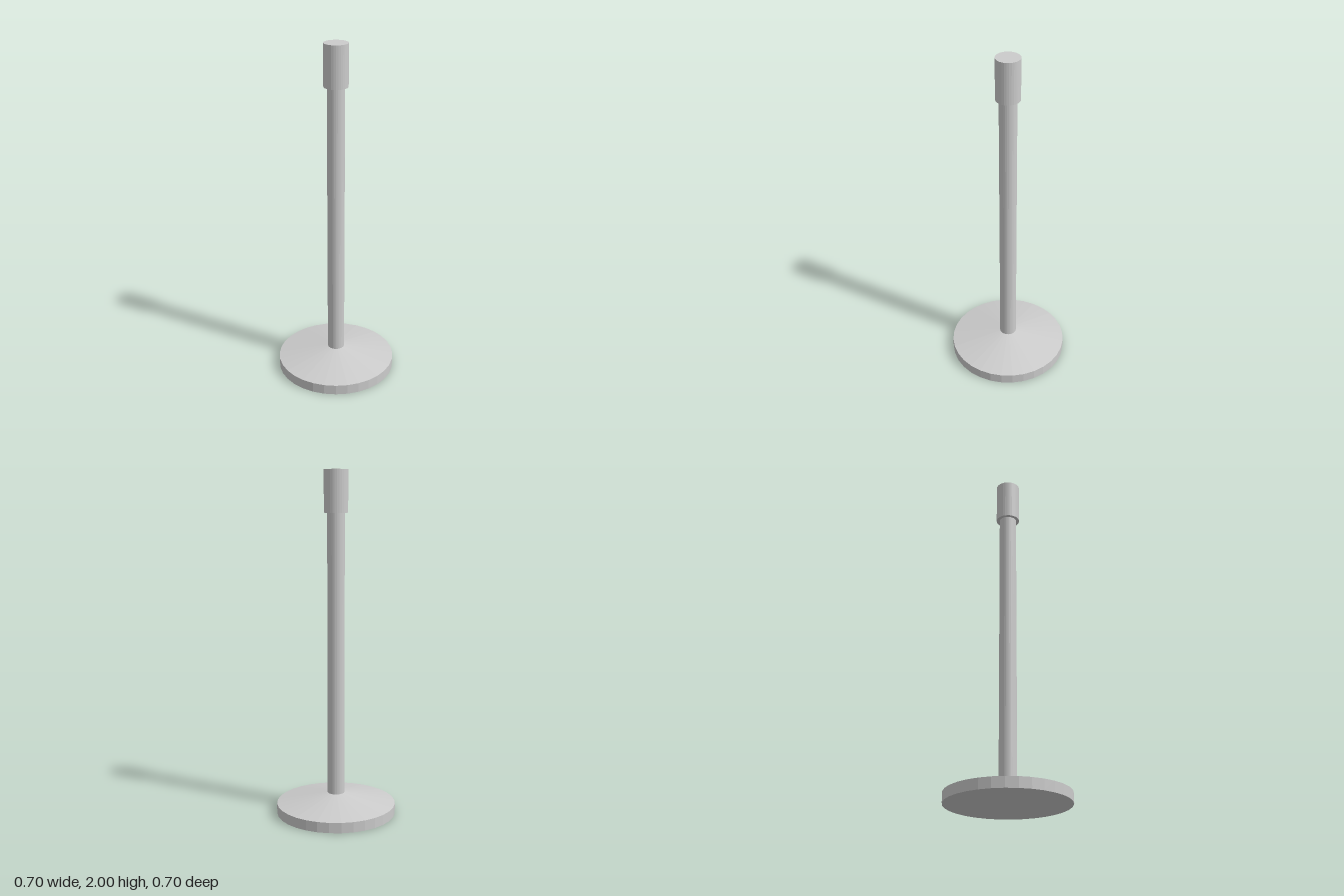
import * as THREE from 'three';

const SIDES = 32;

export function createModel() {
  const model = new THREE.Group();
  model.name = 'barrierPost';
  const material = new THREE.MeshStandardMaterial({ color: 0xcccccc, flatShading: true });

  // Upright round part between two heights
  const addRound = (name, rTop, rBottom, y0, y1, open = false) => {
    const geometry = new THREE.CylinderGeometry(rTop, rBottom, y1 - y0, SIDES, 1, open);
    const mesh = new THREE.Mesh(geometry, material);
    mesh.name = name;
    mesh.position.y = (y0 + y1) / 2;
    model.add(mesh);
  };

  // Weighted base: flat disc with a shallow cone on top
  addRound('baseDisc', 0.35, 0.35, 0, 0.06);
  addRound('baseCone', 0.05, 0.35, 0.06, 0.12, true);

  // Pole and the wider head on its end
  addRound('pole', 0.05, 0.05, 0.12, 1.76, true);
  addRound('head', 0.069, 0.069, 1.76, 2);

  return model;
}
